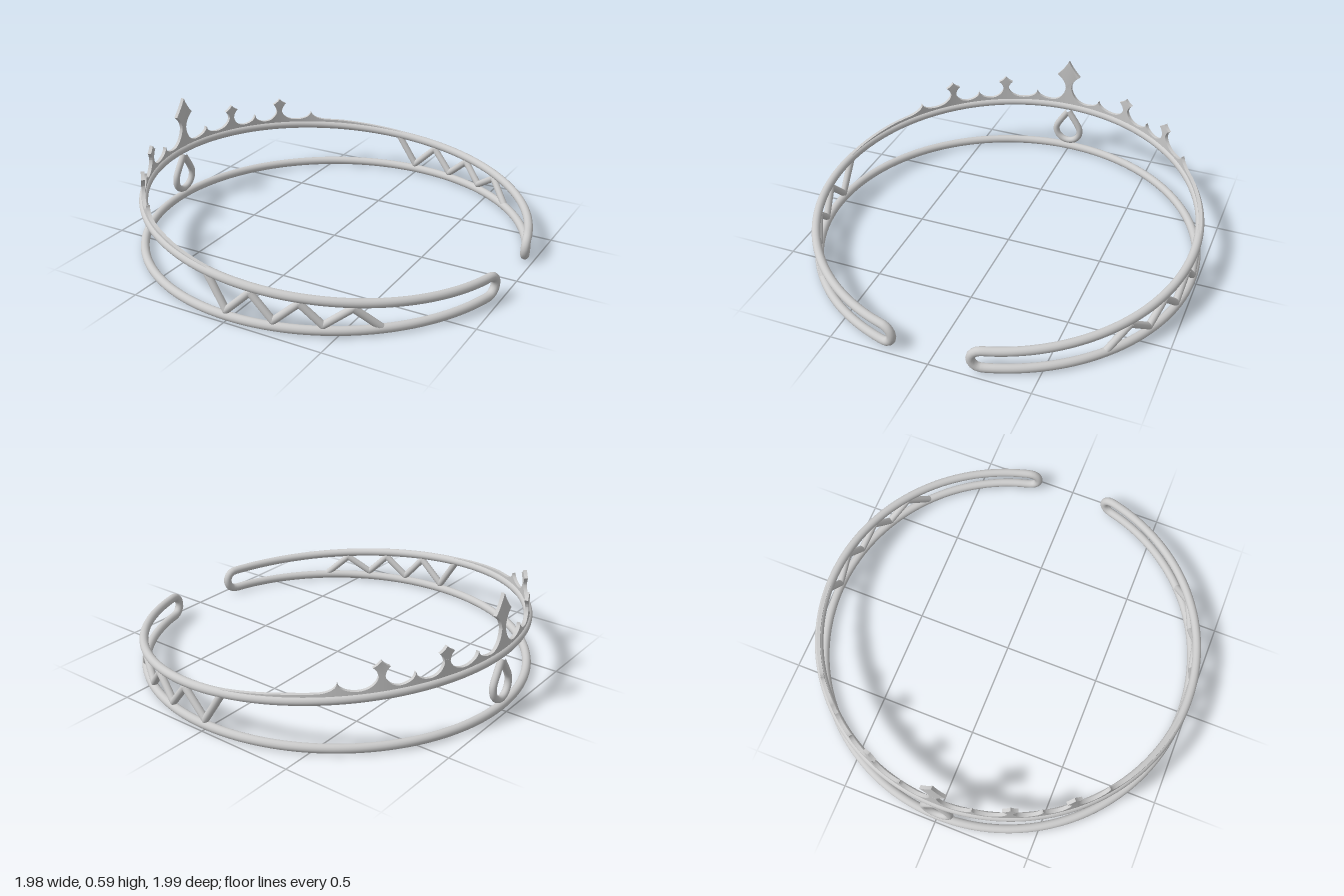
import * as THREE from 'three';
import { toCreasedNormals } from 'three/addons/utils/BufferGeometryUtils.js';

const R = 0.975, TUBE = 0.022, LOW = 0.022;
const material = new THREE.MeshStandardMaterial({ color: 0xcccccc });

// Point on the slightly leaning cylinder that carries every part
const at = (phi, y, dr = 0) => new THREE.Vector3(
  0.007 + (R + dr) * Math.cos(phi) + 0.05 * (y - LOW), y, (R + dr) * Math.sin(phi));
// Height of the tilted upper rail
const railY = (phi) => 0.209 - 0.088 * R * Math.cos(phi);

function add(parent, geometry, name) {
  const mesh = new THREE.Mesh(geometry, material);
  mesh.name = name;
  parent.add(mesh);
  return mesh;
}

function tube(points, segments, radius, closed) {
  const curve = new THREE.CatmullRomCurve3(points, closed);
  curve.arcLengthDivisions = 1500;
  return new THREE.TubeGeometry(curve, segments, radius, 16, closed);
}

// Lower rail, U-shaped ends and upper rail as one closed wire
function railGeometry() {
  const start = 0.255, end = 2 * Math.PI - start, n = 90, pts = [];
  const r = (railY(start) - LOW) / 2, mid = LOW + r;
  for (let i = 0; i <= n; i++) pts.push(at(start + (end - start) * i / n, LOW));
  for (let i = 1; i < 8; i++) {
    const t = Math.PI * i / 8;
    pts.push(at(end + r / R * Math.sin(t), mid - r * Math.cos(t)));
  }
  for (let i = 0; i <= n; i++) {
    const phi = end - (end - start) * i / n;
    pts.push(at(phi, railY(phi)));
  }
  for (let i = 1; i < 8; i++) {
    const t = Math.PI * i / 8;
    pts.push(at(start - r / R * Math.sin(t), mid + r * Math.cos(t)));
  }
  return tube(pts, 600, TUBE, true);
}

// Straight rod between two points
function addRod(parent, a, b, radius) {
  const rod = add(parent, new THREE.CylinderGeometry(radius, radius, a.distanceTo(b), 14), 'zigzagRod');
  rod.position.copy(a).add(b).multiplyScalar(0.5);
  rod.quaternion.setFromUnitVectors(new THREE.Vector3(0, 1, 0), b.clone().sub(a).normalize());
}

function zigzag(side) {
  const group = new THREE.Group();
  group.name = side > 0 ? 'frontZigzag' : 'backZigzag';
  const path = [[-0.12, 0.21], [-0.01, 0.05], [0.11, 0.172], [0.22, 0.05],
    [0.33, 0.153], [0.43, 0.05], [0.54, 0.135], [0.645, 0.028]];
  const pts = path.map(([x, y]) => at(side * Math.acos(x / R), y));
  pts.forEach((p, i) => {
    if (i) addRod(group, pts[i - 1], p, 0.018);
    add(group, new THREE.SphereGeometry(0.018, 14, 10), 'zigzagJoint').position.copy(p);
  });
  return group;
}

// Peaks of the crest: angle from the middle, height, half width of flat top
const PEAKS = [
  [0, 0.14, 0.016], [0.191, 0.08, 0.001], [0.378, 0.1, 0.014],
  [0.538, 0.08, 0.001], [0.695, 0.1, 0.014], [0.893, 0.08, 0.001]];

// Scalloped band: round hollows between the peaks, fading out at both ends
function crestGeometry() {
  const valley = 0.034, n = 20, half = [];
  PEAKS.forEach(([a, h, w], i) => {
    half.push([a + w, h]);
    const next = PEAKS[i + 1] || [1.09, valley, 0];
    const from = a + w, to = next[0] - next[2];
    for (let k = 1; k <= n; k++) {
      const t = Math.PI * k / n;
      const top = k < n / 2 ? h : next[1];
      half.push([from + (to - from) * (1 - Math.cos(t)) / 2, valley + (top - valley) * (1 - Math.sin(t))]);
    }
  });
  for (let k = 1; k <= 12; k++) half.push([1.09 + 0.51 * k / 12, valley - 0.019 * k / 12]);
  const columns = [...half.map(([a, h]) => [-a, h]).reverse(), ...half];

  const pos = [], index = [];
  columns.forEach(([a, h], i) => {
    const phi = Math.PI + a, y = railY(phi);
    for (const [dr, up] of [[0.009, 0], [0.009, h], [-0.009, h], [-0.009, 0]]) {
      pos.push(...at(phi, y + up, dr).toArray());
    }
    if (i === columns.length - 1) return;
    for (let j = 0; j < 4; j++) {
      const p = i * 4 + j, q = i * 4 + (j + 1) % 4;
      index.push(p, q, p + 4, q, q + 4, p + 4);
    }
  });
  const g = new THREE.BufferGeometry();
  g.setAttribute('position', new THREE.Float32BufferAttribute(pos, 3));
  g.setIndex(index);
  return toCreasedNormals(g, 0.6);
}

// Concave diamond bent onto the crest
function finialGeometry(phi, neckW, neckH, sideW, sideH, tipH) {
  const s = new THREE.Shape();
  const midH = (neckH + sideH) / 2, topH = (sideH + tipH) / 2;
  s.moveTo(-neckW, neckH - 0.012);
  s.lineTo(neckW, neckH - 0.012);
  s.quadraticCurveTo(neckW * 1.1, midH, sideW, sideH);
  s.quadraticCurveTo(sideW * 0.36, topH - 0.004, 0, tipH);
  s.quadraticCurveTo(-sideW * 0.36, topH - 0.004, -sideW, sideH);
  s.quadraticCurveTo(-neckW * 1.1, midH, -neckW, neckH - 0.012);
  const g = new THREE.ExtrudeGeometry(s, { depth: 0.018, bevelEnabled: false, curveSegments: 8 });
  const p = g.attributes.position, base = railY(phi);
  for (let i = 0; i < p.count; i++) {
    const v = at(phi - p.getX(i) / R, base + p.getY(i), p.getZ(i) - 0.009);
    p.setXYZ(i, v.x, v.y, v.z);
  }
  return toCreasedNormals(g, 0.5);
}

// Teardrop wire hanging below the middle of the crest
function dropGeometry() {
  const apex = at(Math.PI, 0.262), pts = [apex];
  for (let d = 60; d <= 300; d += 20) {
    const t = THREE.MathUtils.degToRad(d);
    pts.push(at(Math.PI + 0.071 * Math.sin(t) / R, 0.13 + 0.071 * Math.cos(t)));
  }
  pts.push(apex.clone());
  return tube(pts, 80, 0.018, false);
}

export function createModel() {
  const model = new THREE.Group();
  model.name = 'tiaraBracelet';
  add(model, railGeometry(), 'rails');
  model.add(zigzag(1), zigzag(-1));
  add(model, crestGeometry(), 'crest');
  add(model, finialGeometry(Math.PI, 0.016, 0.135, 0.066, 0.205, 0.297), 'middleFinial');
  for (const a of [0.378, 0.695]) {
    for (const side of [1, -1]) {
      add(model, finialGeometry(Math.PI + side * a, 0.014, 0.098, 0.039, 0.134, 0.164), 'sideFinial');
    }
  }
  add(model, dropGeometry(), 'teardrop');
  return model;
}
